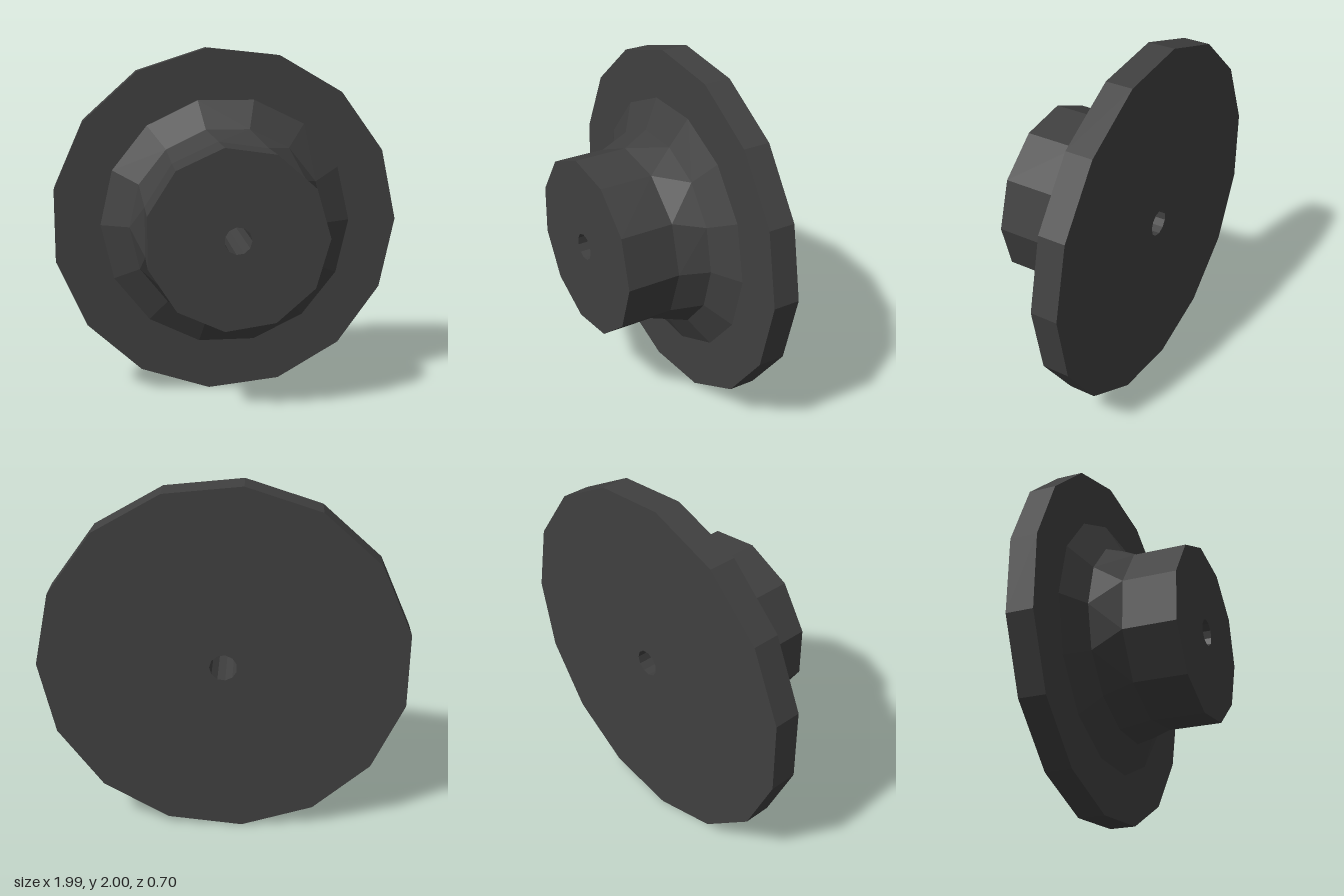
import * as THREE from 'three';

const CX = -0.011, CY = 1; // axis of the part, running along z

// Regular polygon ring around the axis, first corner towards +x
const ring = (r, sides, z) => Array.from({ length: sides + 1 }, (_, i) => {
  const a = (i % sides) / sides * Math.PI * 2;
  return [CX + r * Math.cos(a), CY + r * Math.sin(a), z];
});

// Band of triangles joining two rings whose side counts may differ
function band(a, b) {
  const out = [], na = a.length - 1, nb = b.length - 1;
  let i = 0, j = 0;
  while (i < na || j < nb) {
    const stepB = i === na || (j < nb && (j + 0.5) / nb <= (i + 0.5) / na);
    if (stepB) { out.push(...a[i], ...b[j], ...b[j + 1]); j++; }
    else { out.push(...a[i], ...b[j], ...a[i + 1]); i++; }
  }
  return out;
}

function createModel() {
  const group = new THREE.Group();
  group.name = 'hubFlange';
  const material = new THREE.MeshStandardMaterial({ color: 0x404040, flatShading: true });

  const boreFront = ring(0.075, 11, 0.35);
  const boreBack = ring(0.075, 11, -0.35);
  const hubFront = ring(0.5025, 11, 0.35);
  const hubBase = ring(0.5025, 11, 0.05);
  const filletMid = ring(0.562, 14, -0.11);
  const filletEnd = ring(0.725, 14, -0.2);
  const rimFront = ring(1.0055, 15, -0.2);
  const rimBack = ring(1.0055, 15, -0.35);

  const parts = {
    hub: [boreFront, hubFront, hubBase],
    fillet: [hubBase, filletMid, filletEnd],
    flangeDisc: [filletEnd, rimFront, rimBack, boreBack],
    bore: [boreBack, boreFront],
  };

  for (const [name, rings] of Object.entries(parts)) {
    const positions = [];
    for (let k = 0; k + 1 < rings.length; k++) positions.push(...band(rings[k], rings[k + 1]));
    const geometry = new THREE.BufferGeometry();
    geometry.setAttribute('position', new THREE.Float32BufferAttribute(positions, 3));
    geometry.computeVertexNormals();
    const mesh = new THREE.Mesh(geometry, material);
    mesh.name = name;
    group.add(mesh);
  }
  return group;
}

export { createModel };
